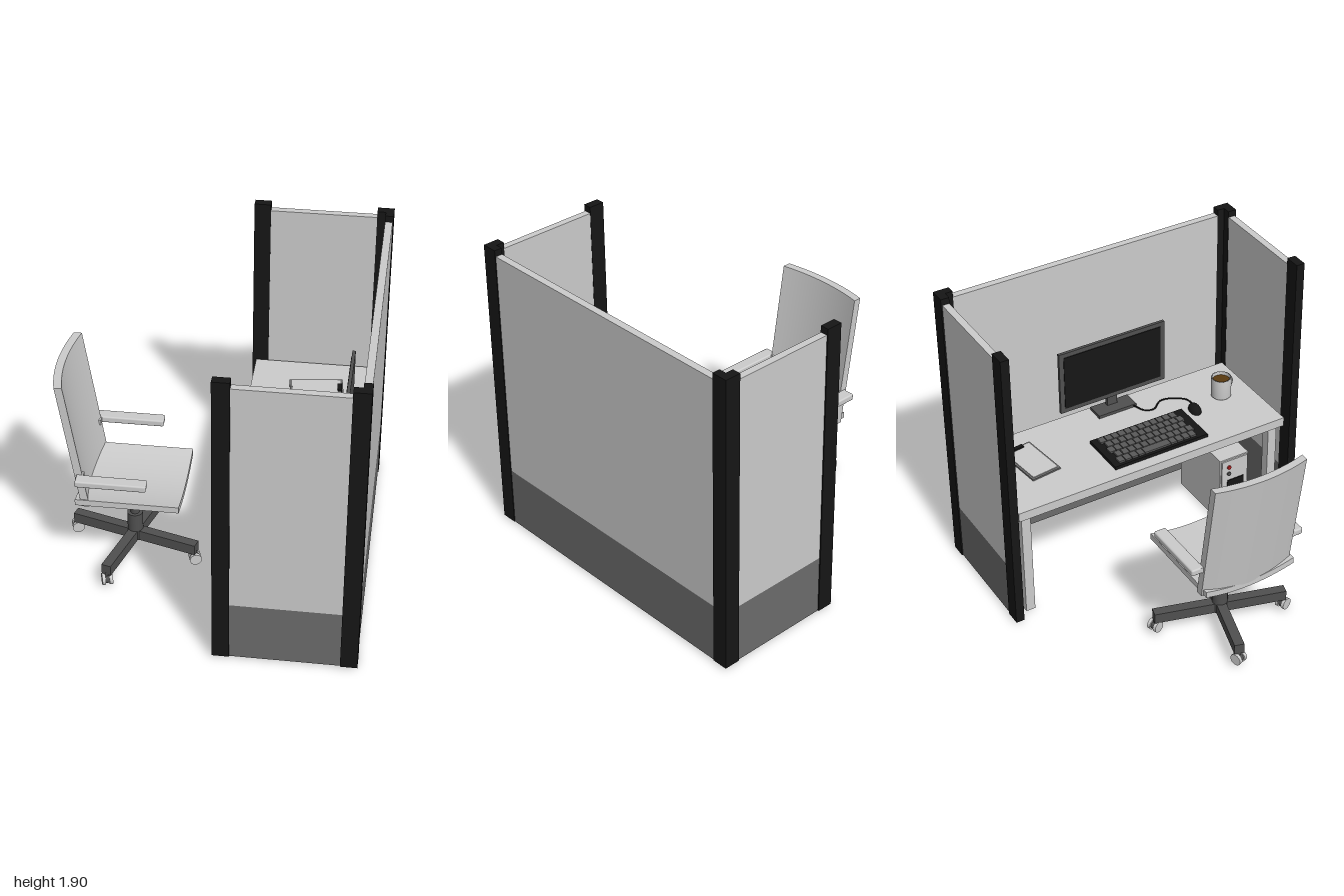
import * as THREE from 'three';
import { RoundedBoxGeometry } from 'three/addons/geometries/RoundedBoxGeometry.js';

const mat = (color, side = THREE.FrontSide) => new THREE.MeshStandardMaterial({ color, side });
const GREY = mat(0xcccccc), LIGHT = mat(0xf0f0f0), DARK = mat(0x6c6c6c), CHARCOAL = mat(0x505050);
const BLACK = mat(0x161616), KEY = mat(0x5a5a5a), COFFEE = mat(0x5a3a10), RED = mat(0xaa2020);

function add(parent, name, geometry, material, x = 0, y = 0, z = 0) {
  const mesh = new THREE.Mesh(geometry, material);
  mesh.name = name;
  mesh.position.set(x, y, z);
  parent.add(mesh);
  return mesh;
}

// Box given by its lower and upper limits on each axis
function span(parent, name, material, x0, x1, y0, y1, z0, z1) {
  return add(parent, name, new THREE.BoxGeometry(x1 - x0, y1 - y0, z1 - z0), material,
    (x0 + x1) / 2, (y0 + y1) / 2, (z0 + z1) / 2);
}

function group(parent, name, x = 0, y = 0, z = 0) {
  const g = new THREE.Group();
  g.name = name;
  g.position.set(x, y, z);
  parent.add(g);
  return g;
}

// Box bent by a rule that moves each vertex
function bentBox(w, h, d, segments, rule) {
  const geo = new THREE.BoxGeometry(w, h, d, 1, 1, segments);
  const p = geo.attributes.position, v = new THREE.Vector3();
  for (let i = 0; i < p.count; i++) {
    rule(v.fromBufferAttribute(p, i));
    p.setXYZ(i, v.x, v.y, v.z);
  }
  geo.computeVertexNormals();
  return geo;
}

function buildPartition(root) {
  const g = group(root, 'partition');
  const bands = [['lowerPanel', DARK, 0.01, 0.39], ['upperPanel', GREY, 0.39, 1.77], ['topBand', LIGHT, 1.77, 1.86]];
  for (const [name, m, y0, y1] of bands) {
    span(g, name, m, 0.88, 0.925, y0, y1, -0.9, 0.9);
    for (const s of [-1, 1]) span(g, name, m, 0.19, 0.83, y0, y1, s * 0.97 - 0.022, s * 0.97 + 0.022);
  }
  // End posts and L-shaped corner posts
  for (const s of [-1, 1]) {
    span(g, 'endPost', BLACK, 0.09, 0.19, 0.01, 1.9, s * 0.973 - 0.027, s * 0.973 + 0.027);
    const corner = new THREE.Shape([[0.83, 1], [0.93, 1], [0.93, 0.9], [0.88, 0.9], [0.88, 0.946], [0.83, 0.946]]
      .map(([x, z]) => new THREE.Vector2(x, -s * z)));
    const geo = new THREE.ExtrudeGeometry(corner, { depth: 1.89, bevelEnabled: false }).rotateX(-Math.PI / 2);
    add(g, 'cornerPost', geo, BLACK, 0, 0.01, 0);
  }
}

function buildDesk(root) {
  const g = group(root, 'desk');
  span(g, 'desktop', GREY, 0.115, 0.83, 0.74, 0.8, -0.93, 0.92);
  for (const x of [0.18, 0.77]) for (const z of [-0.87, 0.86]) {
    span(g, 'deskLeg', GREY, x - 0.03, x + 0.03, 0.012, 0.74, z - 0.03, z + 0.03);
  }
}

function buildComputer(root) {
  const t = group(root, 'computerTower');
  span(t, 'case', GREY, 0.29, 0.76, 0.0, 0.48, 0.57, 0.78);
  span(t, 'frontFascia', GREY, 0.28, 0.29, 0.01, 0.47, 0.58, 0.77);
  span(t, 'driveBay', BLACK, 0.274, 0.28, 0.2, 0.32, 0.62, 0.74);
  for (const [y, m] of [[0.37, CHARCOAL], [0.42, RED]]) {
    add(t, 'button', new THREE.CylinderGeometry(0.014, 0.014, 0.012, 12).rotateZ(Math.PI / 2), m, 0.278, y, 0.63);
  }

  const m = group(root, 'monitor');
  span(m, 'monitorBase', CHARCOAL, 0.695, 0.81, 0.8, 0.82, -0.065, 0.2);
  span(m, 'monitorNeck', CHARCOAL, 0.768, 0.795, 0.82, 1.08, 0.035, 0.105);
  span(m, 'monitorCase', CHARCOAL, 0.752, 0.772, 0.89, 1.32, -0.3, 0.44);
  span(m, 'screen', BLACK, 0.748, 0.752, 0.92, 1.29, -0.27, 0.41);

  // Keyboard with five staggered rows of keys
  const k = group(root, 'keyboard');
  span(k, 'keyboardBody', BLACK, 0.19, 0.5, 0.8, 0.822, -0.24, 0.41);
  const pitch = 0.0455;
  for (let row = 0; row < 5; row++) {
    const x = 0.235 + row * 0.056;
    const shift = (row % 2) * 0.018;
    for (let col = 0; col < 12; col++) {
      if (row === 0 && col > 3 && col < 8) continue;
      const z = -0.18 + shift + col * pitch;
      span(k, 'key', KEY, x - 0.025, x + 0.025, 0.822, 0.834, z - 0.02, z + 0.02);
    }
  }
  span(k, 'spaceBar', KEY, 0.21, 0.26, 0.822, 0.834, -0.02, 0.16);

  const mouse = add(root, 'mouse', new THREE.SphereGeometry(1, 20, 8, 0, Math.PI * 2, 0, Math.PI / 2), BLACK, 0.47, 0.8, 0.49);
  mouse.scale.set(0.062, 0.04, 0.038);
  mouse.rotation.y = -0.2;
  const path = [[0.52, 0.505], [0.58, 0.5], [0.645, 0.42], [0.655, 0.35], [0.6, 0.27], [0.62, 0.215], [0.7, 0.18]];
  const cord = new THREE.CatmullRomCurve3(path.map(([x, z]) => new THREE.Vector3(x, 0.81, z)));
  add(root, 'mouseCord', new THREE.TubeGeometry(cord, 40, 0.005, 6), BLACK);
}

function buildDeskItems(root) {
  // Mug with an inner wall
  const mug = group(root, 'mug', 0.52, 0.8, 0.715);
  const profile = [[0, 0], [0.055, 0], [0.064, 0.01], [0.064, 0.14], [0.055, 0.14], [0.055, 0.015], [0, 0.015]];
  add(mug, 'cup', new THREE.LatheGeometry(profile.map(p => new THREE.Vector2(...p)), 28),
    mat(0xcccccc, THREE.DoubleSide));
  add(mug, 'coffee', new THREE.CircleGeometry(0.055, 28).rotateX(-Math.PI / 2), COFFEE, 0, 0.12, 0);
  const handle = add(mug, 'mugHandle', new THREE.TorusGeometry(0.036, 0.008, 8, 16, Math.PI).rotateZ(-Math.PI / 2), GREY, 0.015, 0.07, 0.06);
  handle.rotation.y = -1.3;

  const c = group(root, 'clipboard', 0.525, 0.8, -0.632);
  c.rotation.y = 0.12;
  span(c, 'board', DARK, -0.165, 0.165, 0, 0.01, -0.1, 0.1);
  span(c, 'paper', LIGHT, -0.15, 0.15, 0.01, 0.014, -0.087, 0.087);
  span(c, 'clip', BLACK, 0.13, 0.157, 0.012, 0.024, -0.038, 0.038);
}

function buildChair(root) {
  const g = group(root, 'officeChair', -0.508, 0, 0.065);
  const curve = z => (z / 0.3) ** 2;
  // Dished seat and raked, curved backrest
  add(g, 'seat', bentBox(0.62, 0.04, 0.6, 14, v => { v.y += 0.04 * curve(v.z); }), GREY, 0.008, 0.512, 0.01);
  add(g, 'backrest', bentBox(0.048, 0.83, 0.6, 14, v => {
    v.x += 0.038 * curve(v.z) - 0.155 * v.y;
    v.y += 0.005 * curve(v.z);
  }), GREY, -0.342, 0.93, 0);
  for (const s of [-1, 1]) {
    add(g, 'armrest', new RoundedBoxGeometry(0.42, 0.042, 0.078, 2, 0.01), GREY, -0.075, 0.732, s * 0.338);
    add(g, 'armBracket', new THREE.BoxGeometry(0.04, 0.036, 0.05), GREY, -0.265, 0.732, s * 0.29);
  }
  add(g, 'lowerColumn', new THREE.CylinderGeometry(0.048, 0.048, 0.19, 20), CHARCOAL, 0, 0.185, 0);
  add(g, 'upperColumn', new THREE.CylinderGeometry(0.028, 0.028, 0.24, 20), CHARCOAL, 0, 0.38, 0);

  // Four-spoke base with twin-wheel casters
  for (let i = 0; i < 4; i++) {
    const spoke = group(g, 'baseSpoke');
    spoke.rotation.y = -0.28 + i * Math.PI / 2;
    span(spoke, 'spokeBar', CHARCOAL, 0, 0.41, 0.09, 0.158, -0.03, 0.03);
    const caster = group(spoke, 'caster', 0.4, 0.052, 0);
    caster.rotation.y = 0.6;
    add(caster, 'casterStem', new THREE.CylinderGeometry(0.012, 0.012, 0.05, 10), CHARCOAL, 0, 0.025, 0);
    for (const s of [-1, 1]) {
      add(caster, 'casterWheel', new THREE.CylinderGeometry(0.037, 0.037, 0.02, 18).rotateX(Math.PI / 2), GREY, 0, 0, s * 0.022);
    }
    add(caster, 'casterAxle', new THREE.CylinderGeometry(0.028, 0.028, 0.03, 14).rotateX(Math.PI / 2), CHARCOAL);
  }
}

export function createModel() {
  const root = new THREE.Group();
  root.name = 'officeCubicle';
  buildPartition(root);
  buildDesk(root);
  buildComputer(root);
  buildDeskItems(root);
  buildChair(root);
  return root;
}
